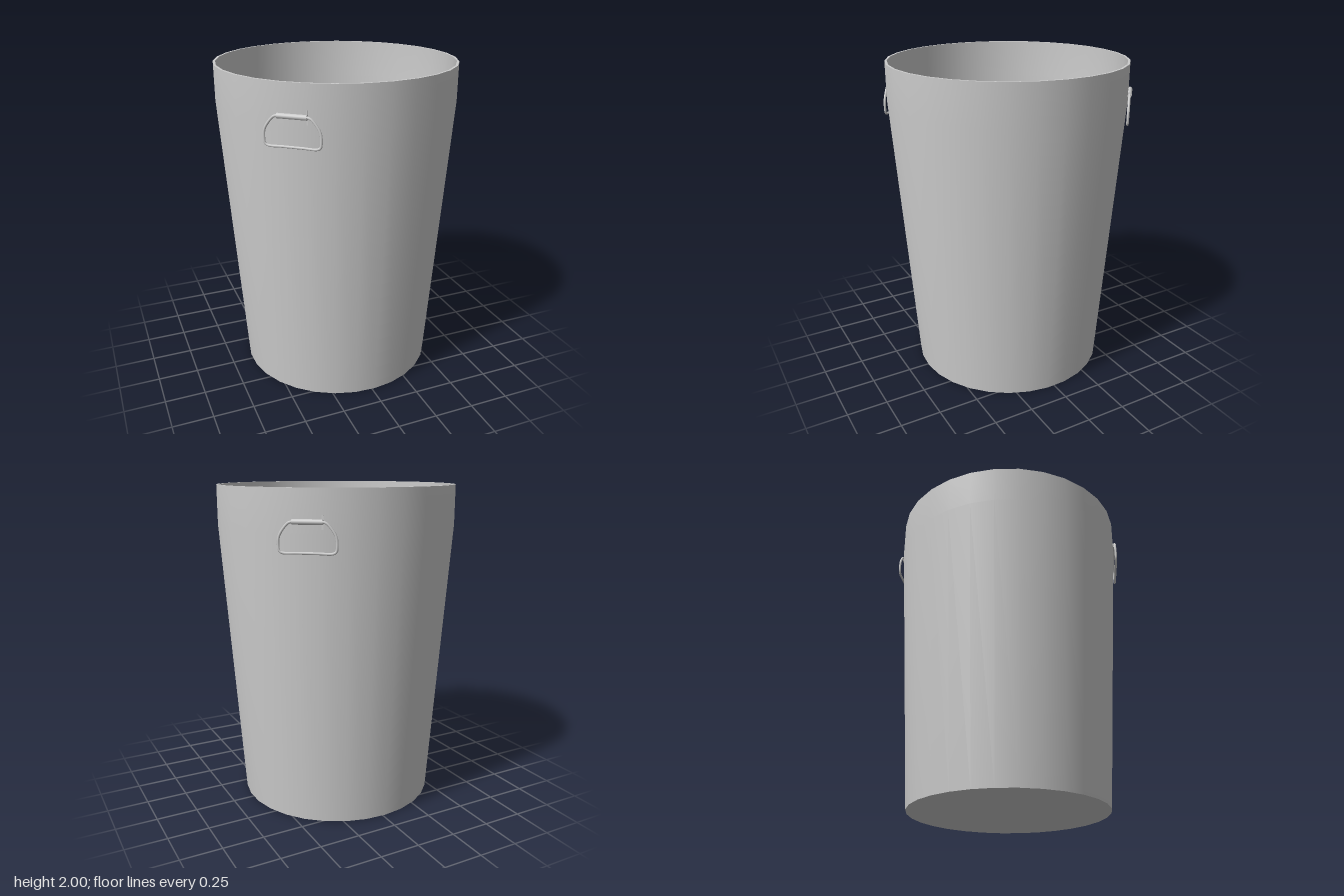
import * as THREE from 'three';
import { toCreasedNormals } from 'three/addons/utils/BufferGeometryUtils.js';

const SIDES = 30;
const deg = THREE.MathUtils.degToRad;
const material = new THREE.MeshStandardMaterial({ color: 0xcccccc, side: THREE.DoubleSide });

function addMesh(parent, name, geometry, x = 0, y = 0, z = 0) {
  const mesh = new THREE.Mesh(geometry, material);
  mesh.name = name;
  mesh.position.set(x, y, z);
  parent.add(mesh);
  return mesh;
}

// Thin-walled tapered bin with a straight collar and a closed floor
function createBin(parent) {
  const profile = [
    [0, 0], [0.617, 0], [0.74, 1.76], [0.74, 2],
    [0.726, 2], [0.726, 1.76], [0.604, 0.015], [0, 0.015],
  ].map(([r, y]) => new THREE.Vector2(r, y));
  const lathe = new THREE.LatheGeometry(profile, SIDES, deg(1.5));
  addMesh(parent, 'binBody', toCreasedNormals(lathe, deg(30)));
}

// Drop handle: D-shaped wire loop hung in a sleeve on a mounting plate
function createHandle(angle) {
  const handle = new THREE.Group();
  handle.name = 'handle';
  handle.rotation.y = angle;

  // Half of the loop, mirrored to close it
  const half = [
    [0.05, 1.822], [0.088, 1.822], [0.108, 1.814], [0.148, 1.765], [0.16, 1.735],
    [0.162, 1.69], [0.157, 1.666], [0.138, 1.656], [0.06, 1.656],
  ];
  const mirrored = half.map(([x, y]) => [-x, y]).reverse();
  const points = [...half, ...mirrored].map(([x, y]) => new THREE.Vector3(x, y, 0.745));
  const loop = new THREE.CatmullRomCurve3(points, true);
  addMesh(handle, 'wireLoop', new THREE.TubeGeometry(loop, 80, 0.0075, 8, true));

  const sleeve = new THREE.CylinderGeometry(0.015, 0.015, 0.17, 12);
  sleeve.rotateZ(Math.PI / 2);
  addMesh(handle, 'sleeve', sleeve, 0, 1.822, 0.744);

  // Plate lies nearly flush with the wall
  addMesh(handle, 'mountingPlate', new THREE.BoxGeometry(0.17, 0.08, 0.006), 0, 1.82, 0.7325);
  return handle;
}

export function createModel() {
  const model = new THREE.Group();
  model.name = 'bin';
  createBin(model);
  for (const angle of [-40, 140]) model.add(createHandle(deg(angle)));
  return model;
}
